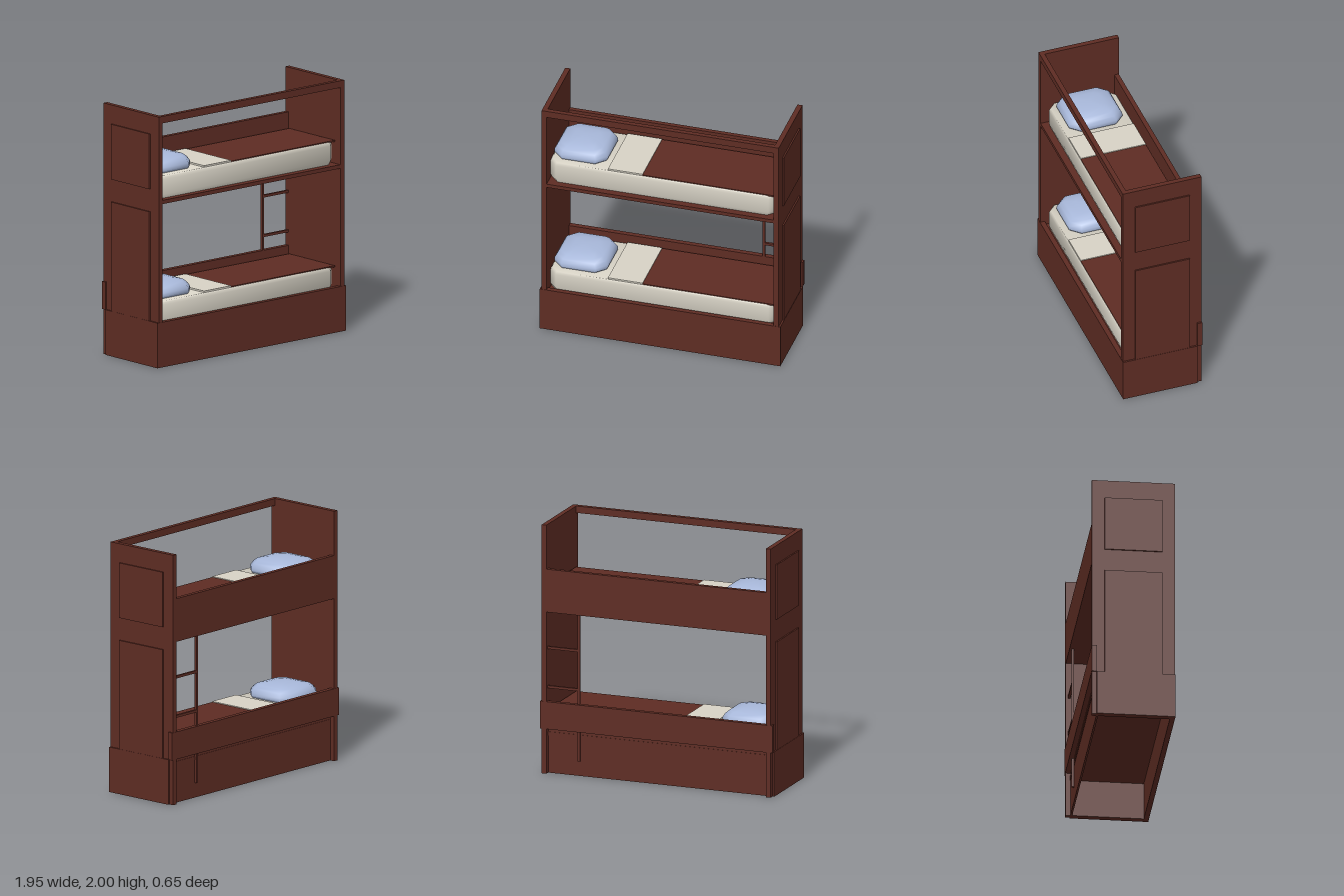
import * as THREE from 'three';
import { toCreasedNormals } from 'three/addons/utils/BufferGeometryUtils.js';

const wood = new THREE.MeshStandardMaterial({ color: 0x5e2c23 });
wood.name = 'darkWood';
const linen = new THREE.MeshStandardMaterial({ color: 0xd8d3c6 });
linen.name = 'creamLinen';
const blue = new THREE.MeshStandardMaterial({ color: 0xa8b8da });
blue.name = 'pillowBlue';

// Box given by its limits on each axis
function box(parent, name, material, [x0, x1], [y0, y1], [z0, z1]) {
  const mesh = new THREE.Mesh(new THREE.BoxGeometry(x1 - x0, y1 - y0, z1 - z0), material);
  mesh.position.set((x0 + x1) / 2, (y0 + y1) / 2, (z0 + z1) / 2);
  mesh.name = name;
  parent.add(mesh);
  return mesh;
}

// Cushion: rectangle with cut corners, lofted through rings of [y, scaleX, scaleZ]
function cushion(parent, name, material, hx, hz, cut, rings) {
  const outline = [
    [hx, hz - cut], [hx, cut - hz], [hx - cut, -hz], [cut - hx, -hz],
    [-hx, cut - hz], [-hx, hz - cut], [cut - hx, hz], [hx - cut, hz],
  ];
  const n = outline.length;
  const positions = [];
  const index = [];
  for (const [y, sx, sz] of rings) {
    for (const [x, z] of outline) positions.push(x * sx, y, z * sz);
  }
  for (let r = 0; r < rings.length - 1; r++) {
    for (let i = 0; i < n; i++) {
      const a = r * n + i;
      const b = r * n + (i + 1) % n;
      if (rings[r][1] > 0) index.push(a, b, b + n);
      if (rings[r + 1][1] > 0) index.push(a, b + n, a + n);
      else if (rings[r][1] > 0) continue;
    }
  }
  const geometry = new THREE.BufferGeometry();
  geometry.setAttribute('position', new THREE.Float32BufferAttribute(positions, 3));
  geometry.setIndex(index);
  const mesh = new THREE.Mesh(toCreasedNormals(geometry, 0.9), material);
  mesh.name = name;
  parent.add(mesh);
  return mesh;
}

// Bed platform with mattress, blanket, folded sheet and pillow
function createBunk(name, y) {
  const bunk = new THREE.Group();
  bunk.name = name;
  box(bunk, 'platform', wood, [-0.92, 0.92], [0.3, 0.33], [-0.29, 0.322]);
  const mattress = cushion(bunk, 'mattress', linen, 0.92, 0.278, 0.06, [
    [0.33, 0, 0], [0.33, 0.985, 0.97], [0.36, 1, 1], [0.48, 1, 1],
    [0.5, 0.995, 0.99], [0.51, 0.985, 0.97], [0.51, 0, 0],
  ]);
  mattress.position.z = -0.003;
  box(bunk, 'blanket', wood, [-0.16, 0.912], [0.505, 0.517], [-0.272, 0.266]);
  box(bunk, 'foldedSheet', linen, [-0.44, -0.16], [0.505, 0.523], [-0.272, 0.266]);
  const pillow = cushion(bunk, 'pillow', blue, 0.215, 0.222, 0.075, [
    [0.512, 0, 0], [0.512, 0.95, 0.95], [0.528, 1, 1], [0.555, 0.99, 0.99],
    [0.585, 0.91, 0.91], [0.61, 0.78, 0.78], [0.625, 0.45, 0.45], [0.635, 0, 0],
  ]);
  pillow.position.x = -0.695;
  bunk.position.y = y;
  return bunk;
}

export function createModel() {
  const model = new THREE.Group();
  model.name = 'bunkBed';

  // End walls with raised panels, mirrored left and right
  for (const side of [1, -1]) {
    const end = new THREE.Group();
    end.name = side > 0 ? 'leftEnd' : 'rightEnd';
    const span = (a, b) => (side > 0 ? [a, b] : [-b, -a]);
    box(end, 'endWall', wood, span(0.92, 0.96), [0, 2], [-0.325, 0.325]);
    box(end, 'upperPanel', wood, span(0.96, 0.972), [1.41, 1.85], [-0.225, 0.225]);
    box(end, 'lowerPanel', wood, span(0.96, 0.972), [0.36, 1.23], [-0.225, 0.225]);
    box(end, 'endSkirting', wood, span(0.96, 0.974), [0, 0.36], [-0.287, 0.325]);
    model.add(end);
  }

  // Front boards
  box(model, 'frontBoard', wood, [-0.974, 0.974], [0, 0.36], [0.287, 0.327]);
  box(model, 'topRail', wood, [-0.92, 0.92], [1.945, 2], [0.287, 0.325]);

  // Back boards
  box(model, 'upperBackBoard', wood, [-0.92, 0.92], [1.3, 1.645], [-0.323, -0.287]);
  box(model, 'lowerBackGuard', wood, [-0.974, 0.974], [0.36, 0.58], [-0.327, -0.287]);
  box(model, 'baseBackBoard', wood, [-0.92, 0.92], [0, 0.36], [-0.287, -0.272]);

  // Ladder at the back, between its post and the left end wall
  const ladder = new THREE.Group();
  ladder.name = 'ladder';
  box(ladder, 'ladderPost', wood, [0.648, 0.668], [0.12, 1.3], [-0.307, -0.287]);
  for (const y of [0.695, 1.01]) {
    box(ladder, 'ladderRung', wood, [0.668, 0.92], [y - 0.01, y + 0.01], [-0.307, -0.287]);
  }
  model.add(ladder);

  model.add(createBunk('lowerBunk', 0), createBunk('upperBunk', 1));
  return model;
}
